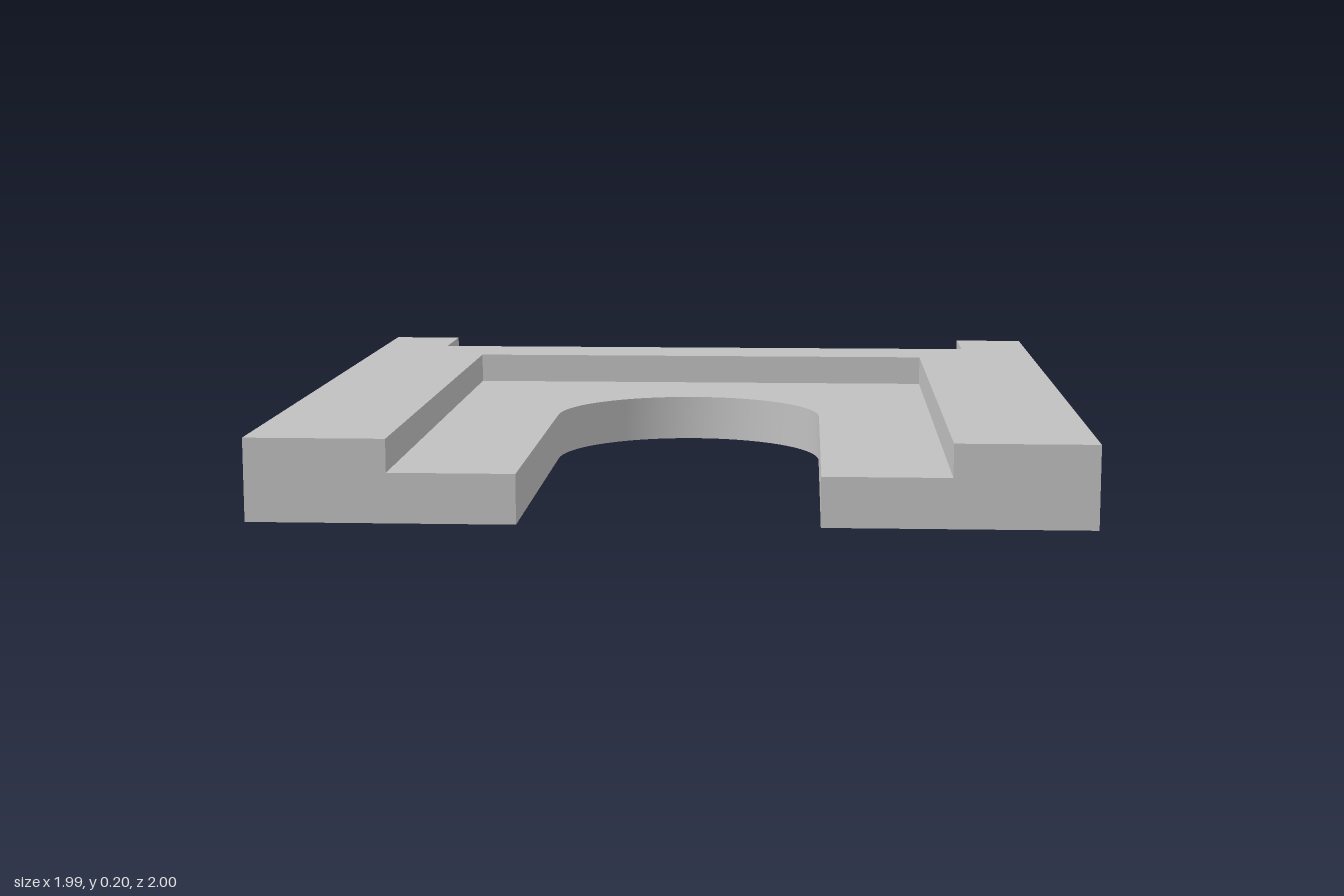
import * as THREE from 'three';
import { toCreasedNormals } from 'three/addons/utils/BufferGeometryUtils.js';

const W = 0.993, D = 1, H = 0.2;            // half width, half depth, height
const FLOOR = 0.12;                         // recess floor and groove lip height
const RECESS_X = 0.657, RECESS_Z = -0.568;  // recess half width and back edge
const SLOT_R = 0.354, SLOT_Z = 0.092;       // slot radius and arc centre
const GROOVE_X = 0.797, GROOVE_Z = -0.777;  // groove half length and inner edge

// Ribbon of quads between two rows of points
function strip(a, b) {
  const pos = [];
  for (let i = 0; i < a.length - 1; i++) {
    for (const p of [a[i], a[i + 1], b[i + 1], a[i], b[i + 1], b[i]]) pos.push(...p);
  }
  const geo = new THREE.BufferGeometry();
  geo.setAttribute('position', new THREE.Float32BufferAttribute(pos, 3));
  return toCreasedNormals(geo, 0.5);
}

// Upright wall along [x, z] points; faces the right-hand side of travel
const wall = (pts, y0, y1) =>
  strip(pts.map(([x, z]) => [x, y0, z]), pts.map(([x, z]) => [x, y1, z]));

// Level face bounded by [x, z] points
function level(pts, y, up = true) {
  const s = up ? -1 : 1;
  const shape = new THREE.Shape(pts.map(([x, z]) => new THREE.Vector2(x, s * z)));
  return new THREE.ShapeGeometry(shape).rotateX(s * Math.PI / 2).translate(0, y, 0);
}

export function createModel() {
  const group = new THREE.Group();
  const grey = new THREE.MeshStandardMaterial({ color: 0xc0c0c0, side: THREE.DoubleSide });
  grey.name = 'plain grey';
  const add = (name, geo) => {
    const mesh = new THREE.Mesh(geo, grey);
    mesh.name = name;
    group.add(mesh);
  };

  // Round-ended slot, open at the front
  const slot = [[-SLOT_R, D]];
  for (let i = 0; i <= 48; i++) {
    const t = Math.PI * (1 - i / 48);
    slot.push([SLOT_R * Math.cos(t), SLOT_Z - SLOT_R * Math.sin(t)]);
  }
  slot.push([SLOT_R, D]);

  const outline = [...slot, [W, D], [W, -D], [-W, -D], [-W, D]];
  const recess = [[-RECESS_X, D], [-RECESS_X, RECESS_Z], [RECESS_X, RECESS_Z], [RECESS_X, D]];
  const rightRim = [[RECESS_X, D], [W, D], [W, -D], [GROOVE_X, -D]];
  const leftRim = rightRim.map(([x, z]) => [-x, z]).reverse();

  // Base plate and recess
  add('underside', level(outline, 0, false));
  add('baseWall', wall([...outline, outline[0]], 0, FLOOR));
  add('recessFloor', level([...slot, ...[...recess].reverse()], FLOOR));
  add('recessWall', wall(recess, FLOOR, H));

  // Raised rim
  add('rimWallLeft', wall(rightRim, FLOOR, H));
  add('rimWallRight', wall(leftRim, FLOOR, H));
  add('rimTop', level([
    ...recess, ...rightRim.slice(1), [GROOVE_X, GROOVE_Z], [-GROOVE_X, GROOVE_Z],
    ...leftRim.slice(0, -1),
  ], H));

  // Round groove along the back edge, from the lip to the inner edge
  const width = GROOVE_Z + D, drop = H - FLOOR;
  const r = (width * width + drop * drop) / (2 * width);
  const cz = GROOVE_Z - r;
  const start = Math.atan2(-drop, -D - cz);
  const arc = [];
  for (let i = 0; i <= 32; i++) {
    const t = start * (1 - i / 32);
    arc.push([H + r * Math.sin(t), cz + r * Math.cos(t)]);
  }
  const low = (x) => arc.map(([y, z]) => [x, y, z]);
  const high = (x) => arc.map(([, z]) => [x, H, z]);
  add('groove', strip(low(-GROOVE_X), low(GROOVE_X)));
  add('grooveEndLeft', strip(low(GROOVE_X), high(GROOVE_X)));
  add('grooveEndRight', strip(high(-GROOVE_X), low(-GROOVE_X)));

  return group;
}
